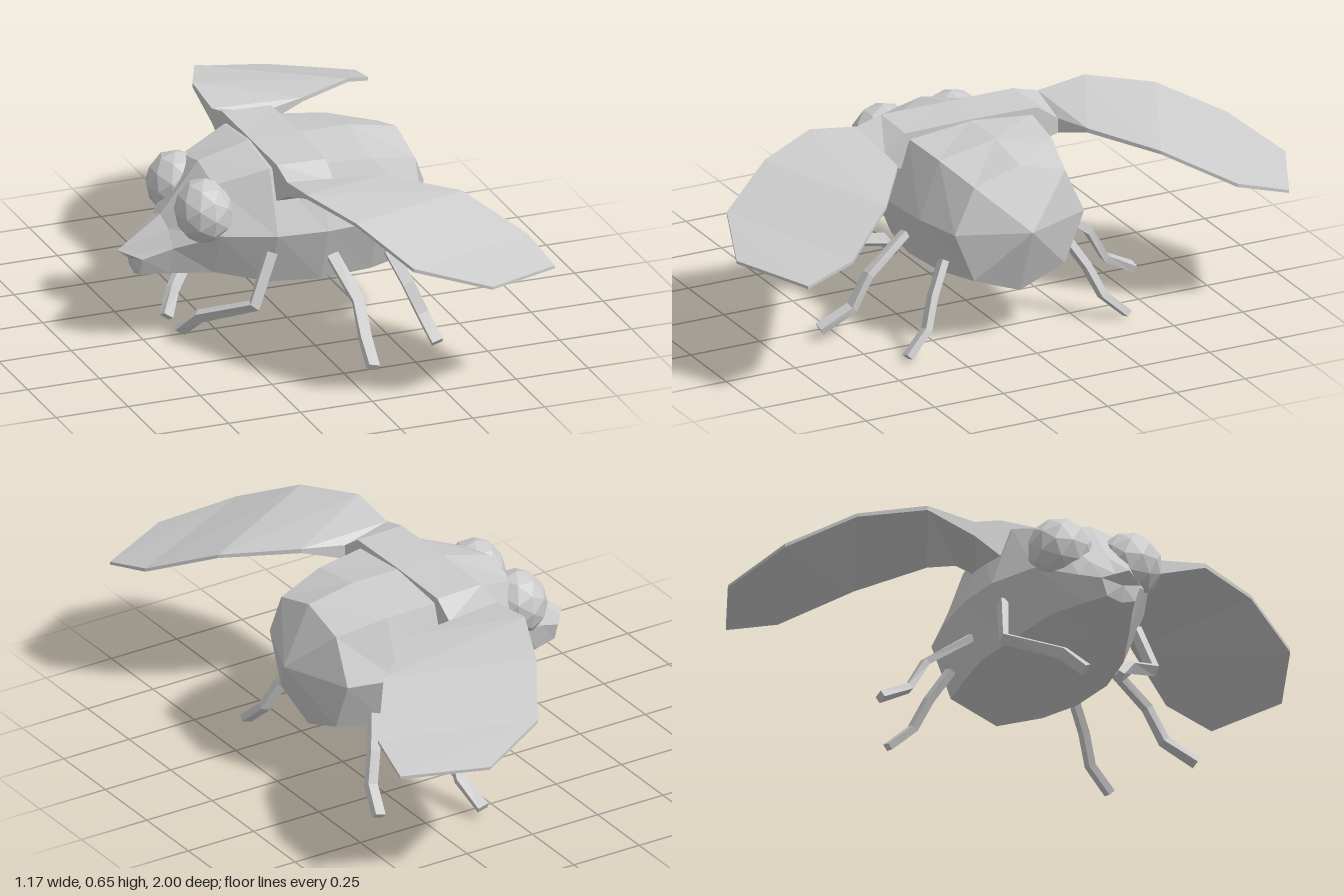
import * as THREE from 'three';

const material = new THREE.MeshStandardMaterial({ color: 0xcccccc, flatShading: true });

// Skin closed rings of [x, y, z] points, with fans closing both ends
function loft(name, rings) {
  const n = rings[0].length;
  const tris = [];
  const centre = (r) => [0, 1, 2].map((k) => r.reduce((s, p) => s + p[k], 0) / n);
  for (let i = 0; i < rings.length - 1; i++) {
    for (let j = 0; j < n; j++) {
      const k = (j + 1) % n;
      const a = rings[i][j], b = rings[i][k], c = rings[i + 1][k], d = rings[i + 1][j];
      tris.push([a, b, c], [a, c, d]);
    }
  }
  const first = rings[0], last = rings[rings.length - 1];
  for (let j = 0; j < n; j++) {
    const k = (j + 1) % n;
    tris.push([centre(first), first[k], first[j]], [centre(last), last[j], last[k]]);
  }
  // Turn the faces outward if the enclosed volume comes out negative
  const v = (p) => new THREE.Vector3(...p);
  const volume = tris.reduce((s, [a, b, c]) => s + v(a).dot(v(b).cross(v(c))), 0);
  const points = tris.flatMap((t) => (volume < 0 ? [t[0], t[2], t[1]] : t));
  const geometry = new THREE.BufferGeometry();
  geometry.setAttribute('position', new THREE.Float32BufferAttribute(points.flat(), 3));
  geometry.computeVertexNormals();
  const mesh = new THREE.Mesh(geometry, material);
  mesh.name = name;
  return mesh;
}

// Eight-sided body section, mirrored about the middle
function bodyRing([x, top, shY, shZ, midY, midZ, lowY, lowZ, bottom, lean = 0]) {
  return [
    [x - lean, top, 0], [x - lean / 2, shY, shZ], [x, midY, midZ], [x, lowY, lowZ],
    [x, bottom, 0], [x, lowY, -lowZ], [x, midY, -midZ], [x - lean / 2, shY, -shZ],
  ];
}

// Four-cornered leg that follows its joints
function leg(name, joints, side) {
  const pts = joints.map(([x, y, z]) => new THREE.Vector3(x, y, z * side));
  const rings = pts.map((p, i) => {
    const t = pts[Math.min(i + 1, pts.length - 1)].clone().sub(pts[Math.max(i - 1, 0)]).normalize();
    const u = new THREE.Vector3(0, 0, side).cross(t).normalize();
    const w = t.clone().cross(u).normalize();
    return [[1, 1], [-1, 1], [-1, -1], [1, -1]].map(([a, b]) =>
      p.clone().addScaledVector(u, a * 0.019).addScaledVector(w, b * 0.012).toArray());
  });
  return loft(name, rings);
}

// Wing sections: leading corner, trailing corner, then the drop to the underside
function wing(name, side) {
  const sections = [
    [[-0.13, 0.647, 0], [0.04, 0.647, 0], 0.06],
    [[-0.13, 0.647, 0.24], [0.04, 0.643, 0.24], 0.125],
    [[-0.13, 0.622, 0.33], [0.04, 0.59, 0.315], 0.05],
    [[-0.13, 0.645, 0.5], [0.19, 0.605, 0.345], 0.015],
    [[-0.04, 0.612, 0.71], [0.41, 0.577, 0.5], 0.012],
    [[0.08, 0.513, 0.91], [0.56, 0.48, 0.7], 0.012],
    [[0.32, 0.447, 0.998], [0.585, 0.433, 0.875], 0.01],
  ];
  return loft(name, sections.map(([l, t, drop]) => [
    l, t, [t[0], t[1] - drop, t[2]], [l[0], l[1] - drop, l[2]],
  ].map(([x, y, z]) => [x, y, z * side])));
}

export function createModel() {
  const model = new THREE.Group();
  model.name = 'insect';

  // Body from snout to pointed tail
  model.add(loft('body', [
    [-0.53, 0.325, 0.318, 0.036, 0.31, 0.07, 0.25, 0.05, 0.235, 0.06],
    [-0.44, 0.43, 0.405, 0.07, 0.35, 0.11, 0.255, 0.085, 0.23],
    [-0.31, 0.597, 0.565, 0.14, 0.41, 0.205, 0.26, 0.14, 0.217],
    [-0.14, 0.643, 0.62, 0.2, 0.41, 0.275, 0.225, 0.2, 0.175],
    [0.03, 0.643, 0.62, 0.225, 0.41, 0.292, 0.22, 0.225, 0.175],
    [0.21, 0.643, 0.605, 0.205, 0.41, 0.275, 0.22, 0.205, 0.175],
    [0.38, 0.612, 0.565, 0.165, 0.41, 0.235, 0.238, 0.165, 0.175],
    [0.475, 0.41, 0.41, 0, 0.41, 0, 0.41, 0, 0.41],
  ].map(bodyRing)));

  const legs = {
    frontLeg: [[-0.15, 0.345, 0.24], [-0.22, 0.18, 0.27], [-0.35, 0.105, 0.12], [-0.395, 0.04, 0.06]],
    middleLeg: [[0.06, 0.305, 0.25], [0.09, 0.2, 0.4], [0.09, 0.095, 0.46], [0.075, 0.035, 0.57]],
    rearLeg: [[0.27, 0.28, 0.22], [0.31, 0.18, 0.28], [0.345, 0.085, 0.32], [0.365, 0.012, 0.4]],
  };

  for (const side of [1, -1]) {
    const label = side > 0 ? 'Front' : 'Back';

    // Faceted eye
    const eye = new THREE.Mesh(new THREE.IcosahedronGeometry(1, 1), material);
    eye.name = 'eye' + label;
    eye.scale.set(0.097, 0.11, 0.11);
    eye.position.set(-0.337, 0.475, 0.125 * side);
    model.add(eye, wing('wing' + label, side));

    for (const [name, joints] of Object.entries(legs)) model.add(leg(name + label, joints, side));
  }
  return model;
}
